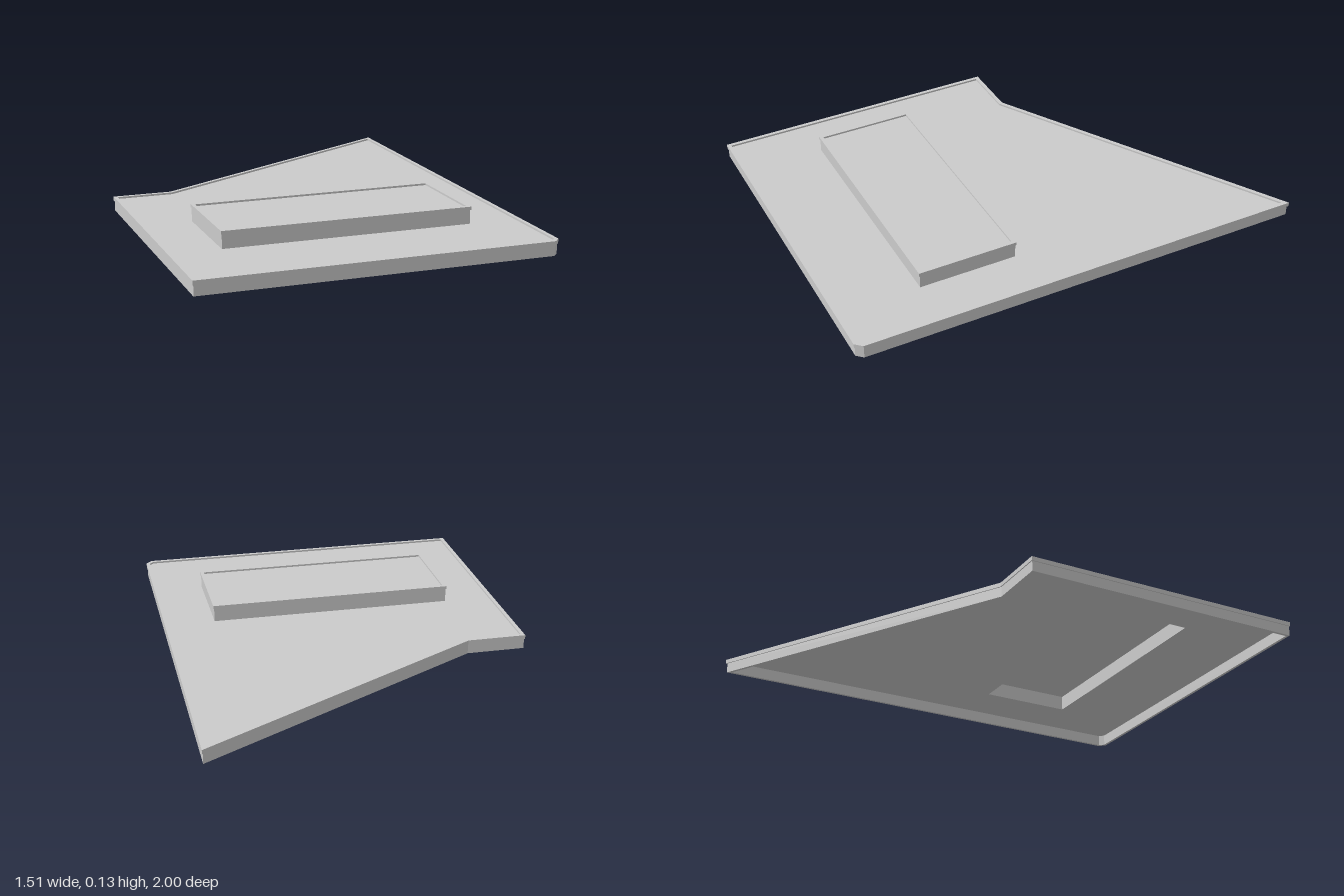
import * as THREE from 'three';

const material = new THREE.MeshStandardMaterial({ color: 0xcccccc, flatShading: true, side: THREE.DoubleSide });

// Move every edge of a closed [x, z] outline inwards by d
function inset(points, d) {
  const n = points.length;
  const edgeNormal = (a, b) => {
    const l = Math.hypot(b[0] - a[0], b[1] - a[1]);
    return [(b[1] - a[1]) / l, -(b[0] - a[0]) / l];
  };
  return points.map((p, i) => {
    const u = edgeNormal(points[(i + n - 1) % n], p);
    const v = edgeNormal(p, points[(i + 1) % n]);
    const k = d / (1 + u[0] * v[0] + u[1] * v[1]);
    return [p[0] + (u[0] + v[0]) * k, p[1] + (u[1] + v[1]) * k];
  });
}

const toVectors = (points) => points.map(([x, z]) => new THREE.Vector2(x, -z));

// Horizontal slab or ring between two heights
function slab(name, outline, hole, bottom, top) {
  const shape = new THREE.Shape(toVectors(outline));
  if (hole) shape.holes.push(new THREE.Path(toVectors(hole)));
  const geometry = new THREE.ExtrudeGeometry(shape, { depth: top - bottom, bevelEnabled: false });
  geometry.rotateX(-Math.PI / 2).translate(0, bottom, 0);
  const mesh = new THREE.Mesh(geometry, material);
  mesh.name = name;
  return mesh;
}

// Hollow tray: thin walls, sunken panel and a narrow overhanging rim
function tray(name, outline, hole, bottom, top, rimHeight) {
  const group = new THREE.Group();
  group.name = name;
  const wall = inset(outline, 0.004);
  const inner = inset(outline, 0.016);
  group.add(
    slab('walls', wall, inner, bottom, top - rimHeight),
    slab('rim', outline, inner, top - rimHeight, top),
    slab('panel', inner, hole, top - 0.013, top - 0.008)
  );
  return group;
}

export function createModel() {
  const model = new THREE.Group();
  model.name = 'roof';

  // Outlines run in the same direction, seen from above
  const roofOutline = [
    [-0.757, 1], [-0.757, -0.265], [-0.5, -0.265],
    [0.757, -1], [0.757, 0.97], [0.73, 1],
  ].reverse();
  const boxOutline = [[-0.538, 0.637], [-0.538, 0.202], [0.538, 0.202], [0.538, 0.637]].reverse();

  // Main roof, open underneath and cut through below the raised box
  model.add(tray('roofDeck', roofOutline, inset(boxOutline, 0.016), 0, 0.062, 0.018));

  // Raised box
  model.add(tray('raisedBox', boxOutline, null, 0.049, 0.128, 0.014));
  return model;
}
